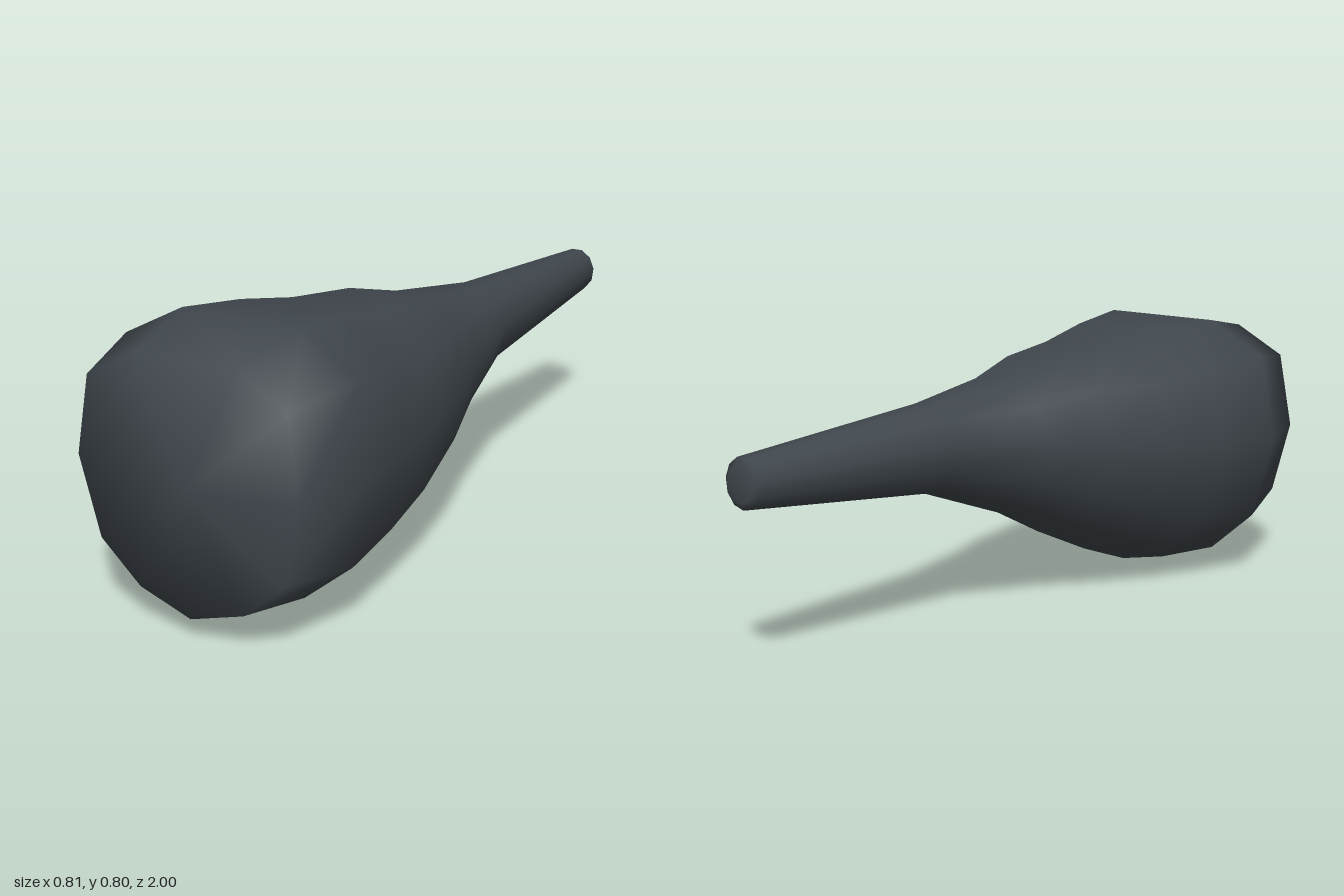
import * as THREE from 'three';

// Body outline in a unit box, counter-clockwise from the bottom point
const OUTLINE = [
  [0.01, -1], [0.5, -0.85], [0.87, -0.54], [1, 0.09], [0.93, 0.73], [0.52, 1],
  [-0.4, 0.98], [-0.87, 0.73], [-1, 0.09], [-0.82, -0.54], [-0.46, -0.85],
];

// Sections from front to back: z, xMin, xMax, yMin, yMax, roundness
const SECTIONS = [
  [1.0, -0.32, 0.355, 0.06, 0.76, 0],
  [0.75, -0.405, 0.402, 0.0, 0.8, 0],
  [0.55, -0.35, 0.385, 0.03, 0.775, 0.1],
  [0.36, -0.3, 0.37, 0.095, 0.735, 0.2],
  [0.15, -0.22, 0.335, 0.185, 0.715, 0.4],
  [-0.02, -0.13, 0.285, 0.27, 0.67, 0.6],
  [-0.31, -0.005, 0.22, 0.37, 0.63, 0.9],
  [-0.99, 0.06, 0.185, 0.435, 0.575, 1],
  [-1.0, 0.075, 0.17, 0.455, 0.555, 1],
];

function loftGeometry() {
  const n = OUTLINE.length;
  const positions = [];
  const index = [];

  // Rings, blending from the squarish body outline to a round neck
  for (const [z, x0, x1, y0, y1, round] of SECTIONS) {
    OUTLINE.forEach(([u, v], i) => {
      const a = (i / n) * Math.PI * 2 - Math.PI / 2;
      const px = THREE.MathUtils.lerp(u, Math.cos(a), round);
      const py = THREE.MathUtils.lerp(v, Math.sin(a), round);
      positions.push((x0 + x1) / 2 + (px * (x1 - x0)) / 2, (y0 + y1) / 2 + (py * (y1 - y0)) / 2, z);
    });
  }

  // Skin between the rings
  for (let s = 0; s < SECTIONS.length - 1; s++) {
    for (let i = 0; i < n; i++) {
      const j = (i + 1) % n;
      const a = s * n + i, b = s * n + j, c = b + n, d = a + n;
      index.push(a, d, c, a, c, b);
    }
  }

  // Flat caps at both ends, sharing the ring vertices for soft shading
  const addCap = (s, front) => {
    const [z, x0, x1, y0, y1] = SECTIONS[s];
    const centre = positions.length / 3;
    positions.push((x0 + x1) / 2, (y0 + y1) / 2, z);
    for (let i = 0; i < n; i++) {
      const a = s * n + i, b = s * n + ((i + 1) % n);
      index.push(centre, front ? a : b, front ? b : a);
    }
  };
  addCap(0, true);
  addCap(SECTIONS.length - 1, false);

  const geometry = new THREE.BufferGeometry();
  geometry.setAttribute('position', new THREE.Float32BufferAttribute(positions, 3));
  geometry.setIndex(index);
  geometry.computeVertexNormals();
  return geometry;
}

export function createModel() {
  const group = new THREE.Group();
  group.name = 'taperedBulb';
  const body = new THREE.Mesh(loftGeometry(), new THREE.MeshStandardMaterial({ color: 0x40474d }));
  body.name = 'bulbAndNeck';
  group.add(body);
  return group;
}
